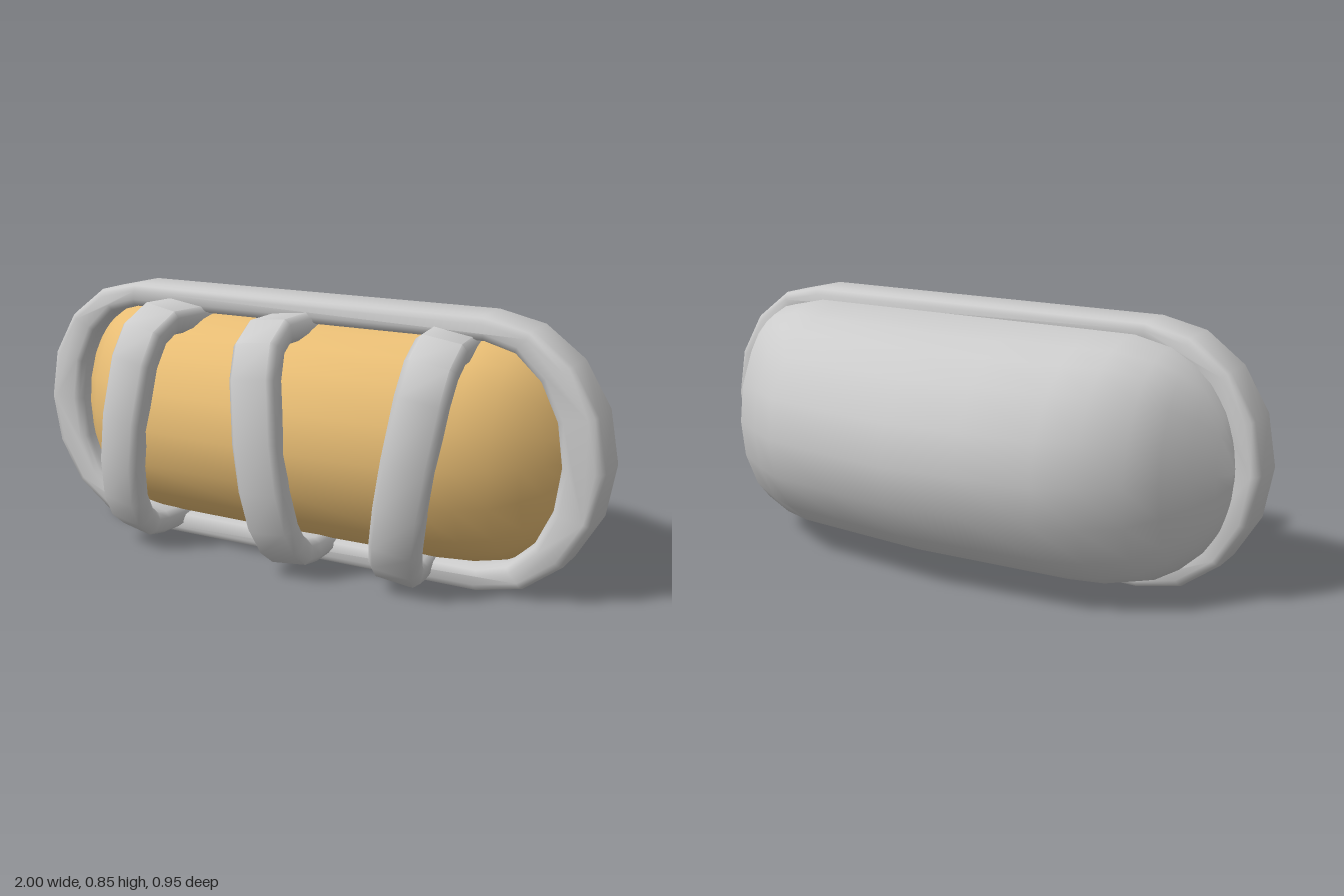
import * as THREE from 'three';
import { toCreasedNormals } from 'three/addons/utils/BufferGeometryUtils.js';

const MID_Y = 0.425;
const grey = new THREE.MeshStandardMaterial({ color: 0xcccccc });
const golden = new THREE.MeshStandardMaterial({ color: 0xe8bd74 });

// Counter-clockwise stadium with elliptical ends of eight segments each
function stadium(w, h, straight) {
  const pts = [];
  for (const side of [1, -1]) {
    for (let i = 0; i <= 8; i++) {
      const a = -Math.PI / 2 + (i * Math.PI) / 8;
      pts.push(new THREE.Vector2(
        side * (straight + (w - straight) * Math.cos(a)),
        side * h * Math.sin(a)));
    }
  }
  return pts;
}

// Closed skin over rings of equal point count
function loft(rings, crease) {
  const n = rings[0].length, index = [];
  const pos = rings.flat().flatMap((p) => [p.x, p.y, p.z]);
  for (let i = 0; i < rings.length - 1; i++) {
    for (let j = 0; j < n; j++) {
      const a = i * n + j, b = i * n + (j + 1) % n;
      index.push(a, b, b + n, a, b + n, a + n);
    }
  }
  const last = (rings.length - 1) * n;
  for (let j = 1; j < n - 1; j++) {
    index.push(0, j + 1, j, last, last + j, last + j + 1);
  }
  const g = new THREE.BufferGeometry();
  g.setAttribute('position', new THREE.Float32BufferAttribute(pos, 3));
  g.setIndex(index);
  return toCreasedNormals(g, crease);
}

// Half of the bulge's section: [share of depth, share of height]
const ARC = [[0, 1], [0.25, 1], [0.45, 0.94], [0.62, 0.84], [0.79, 0.66], [0.95, 0.34], [1, 0]];
const FULL_ARC = [...ARC, ...ARC.slice(0, -1).reverse().map(([t, s]) => [t, -s])];

// Long bulge facing dir (+1 front, -1 back); depths lists [x, z] from the middle to the tip
function bulge(dir, z0, h, straight, depths) {
  const w = depths[depths.length - 1][0];
  const mirrored = depths.slice(1).reverse().map(([x, z]) => [-x, z]);
  const rings = [...mirrored, ...depths].map(([x, z]) => {
    const e = Math.max(0, (Math.abs(x) - straight) / (w - straight));
    const height = h * Math.sqrt(1 - e * e);
    return FULL_ARC.map(([t, s]) => new THREE.Vector3(
      x, MID_Y + dir * s * height, THREE.MathUtils.lerp(z0, z, t)));
  });
  return loft(rings, 1);
}

// Bevelled band bent round the front, as [z, height from the middle]
const STRAP_PATH = [
  [0.08, 0.35], [0.31, 0.35], [0.385, 0.305], [0.425, 0.215], [0.447, 0.025],
  [0.44, -0.125], [0.41, -0.25], [0.37, -0.32], [0.32, -0.36], [0.26, -0.368], [0.08, -0.363],
];
function strapGeometry(reach) {
  const path = STRAP_PATH.map(([z, y]) => new THREE.Vector3(0, y, 0.08 + (z - 0.08) * reach));
  const w = 0.078, top = 0.03, under = -0.048, b = 0.018;
  const section = [
    [w, under + b], [w, top - b], [w - b, top], [-w + b, top],
    [-w, top - b], [-w, under + b], [-w + b, under], [w - b, under],
  ];
  const xAxis = new THREE.Vector3(1, 0, 0);
  const rings = path.map((p, i) => {
    const before = path[Math.max(i - 1, 0)];
    const after = path[Math.min(i + 1, path.length - 1)];
    const out = after.clone().sub(before).normalize().cross(xAxis);
    return section.map(([u, v]) =>
      p.clone().addScaledVector(xAxis, u).addScaledVector(out, v));
  });
  return loft(rings, 0.9);
}

export function createModel() {
  const model = new THREE.Group();
  const add = (name, geometry, material) => {
    const mesh = new THREE.Mesh(geometry, material);
    mesh.name = name;
    model.add(mesh);
    return mesh;
  };

  // Rim: bevelled stadium ring
  const outline = new THREE.Shape(stadium(1, 0.425, 0.62));
  outline.holes.push(new THREE.Path(stadium(0.87, 0.347, 0.62).reverse()));
  const rim = new THREE.ExtrudeGeometry(outline, {
    depth: 0.115, bevelEnabled: true, bevelThickness: 0.025,
    bevelSize: 0.025, bevelOffset: -0.025, bevelSegments: 2,
  });
  rim.translate(0, MID_Y, 0.045);
  add('rim', toCreasedNormals(rim, 0.9), grey);

  // Back shell, deepest in the middle
  add('backShell', bulge(-1, 0.05, 0.384, 0.58, [
    [0, -0.475], [0.24, -0.448], [0.48, -0.418], [0.59, -0.36], [0.71, -0.29],
    [0.78, -0.195], [0.84, -0.11], [0.89, -0.035], [0.92, 0.01], [0.935, 0.03],
  ]), grey);

  // Filling that bulges through the rim
  add('filling', bulge(1, 0, 0.353, 0.62, [
    [0, 0.43], [0.5, 0.412], [0.61, 0.36], [0.7, 0.31],
    [0.77, 0.24], [0.82, 0.185], [0.87, 0.11], [0.9, 0.05],
  ]), golden);

  // Three leaning straps: middle x, reach, lean, turn
  const straps = [
    ['rightStrap', -0.493, 0.96, -0.146, -0.12],
    ['middleStrap', 0.018, 1, 0.104, 0],
    ['leftStrap', 0.49, 0.9, -0.175, 0.12],
  ];
  for (const [name, x, reach, lean, turn] of straps) {
    const strap = add(name, strapGeometry(reach), grey);
    strap.rotation.set(0, turn, lean, 'ZYX');
    strap.position.set(x - 0.4 * Math.sin(turn), MID_Y, 0);
  }

  return model;
}
